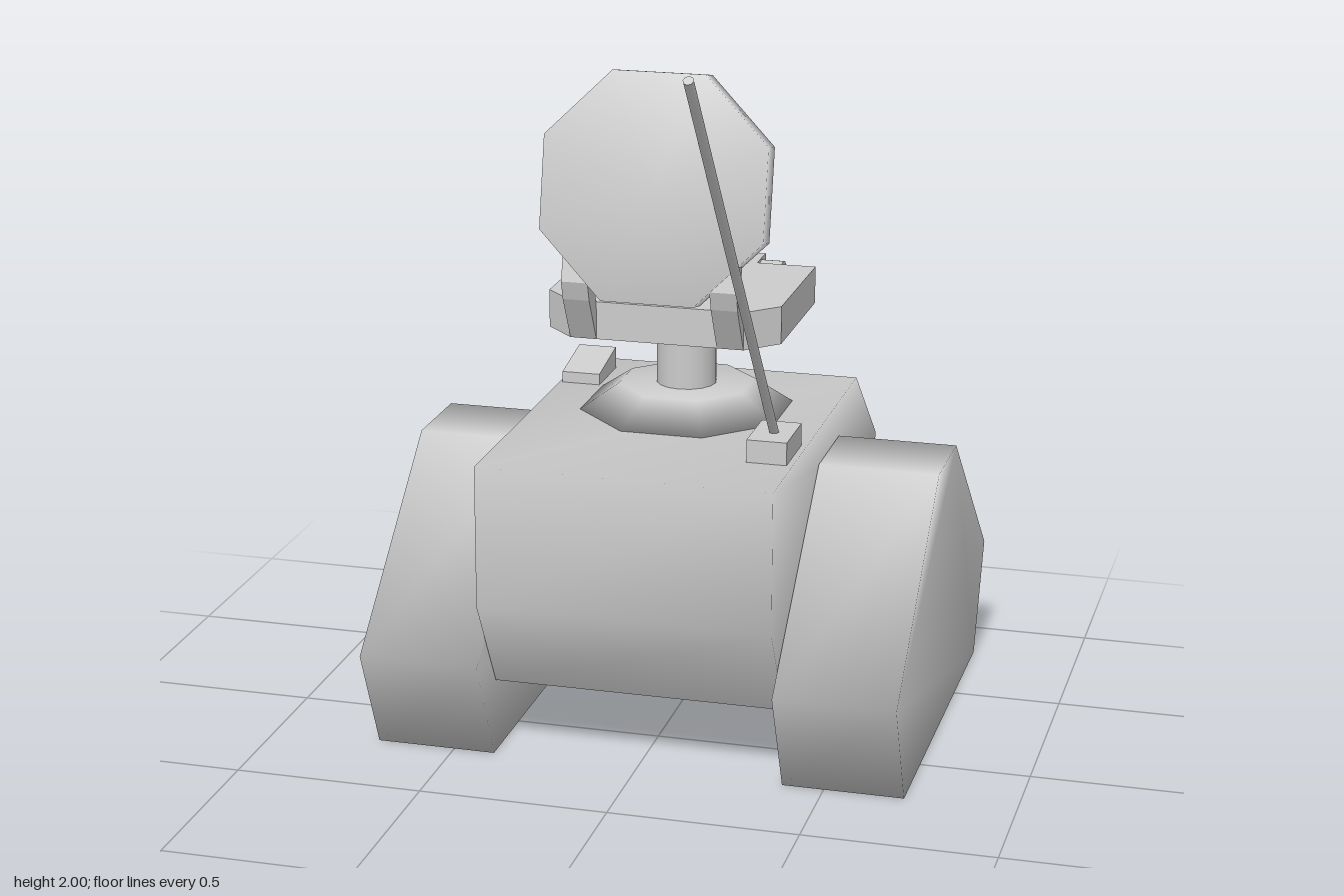
import * as THREE from 'three';
import { mergeVertices } from 'three/addons/utils/BufferGeometryUtils.js';

const grey = new THREE.MeshStandardMaterial({ color: 0xcccccc, side: THREE.DoubleSide });
grey.name = 'plain grey';

// Shares vertices so that shading runs smoothly over the edges
function smooth(geometry) {
  geometry.deleteAttribute('normal');
  geometry.deleteAttribute('uv');
  const merged = mergeVertices(geometry, 1e-4);
  merged.computeVertexNormals();
  return merged;
}

// Side profile of [z, y] points, extruded from x0 to x1
function sideExtrude(points, x0, x1) {
  const shape = new THREE.Shape(points.map(([z, y]) => new THREE.Vector2(-z, y)));
  const g = new THREE.ExtrudeGeometry(shape, { depth: x1 - x0, bevelEnabled: false });
  return g.rotateY(Math.PI / 2).translate(x0, 0, 0);
}

// Removes the faces lying on the plane y = level
function openBottom(geometry, level) {
  const p = geometry.attributes.position;
  const kept = [];
  for (let i = 0; i < p.count; i += 3) {
    const flat = [0, 1, 2].every((k) => Math.abs(p.getY(i + k) - level) < 1e-4);
    if (flat) continue;
    for (let k = 0; k < 3; k++) kept.push(p.getX(i + k), p.getY(i + k), p.getZ(i + k));
  }
  const g = new THREE.BufferGeometry();
  g.setAttribute('position', new THREE.Float32BufferAttribute(kept, 3));
  return g;
}

export function createModel() {
  const model = new THREE.Group();
  model.name = 'trackedRobot';
  const add = (name, geometry) => {
    const mesh = new THREE.Mesh(geometry, grey);
    mesh.name = name;
    model.add(mesh);
    return mesh;
  };

  // Hull, hollow from below
  const hull = sideExtrude([
    [0.35, 0.84], [0.35, 0.46], [0.2, 0.2], [-0.78, 0.2], [-0.94, 0.59], [-0.65, 0.84],
  ], -0.388, 0.388);
  add('hull', smooth(openBottom(hull, 0.2)));

  // Track units
  const track = [
    [0.35, 0.29], [0.22, 0], [-0.81, 0], [-0.94, 0.29], [-0.42, 0.745], [-0.17, 0.745],
  ];
  add('leftTrack', smooth(sideExtrude(track, 0.39, 0.71)));
  add('rightTrack', smooth(sideExtrude(track, -0.71, -0.39)));

  // Eight-sided turret base and round neck
  const base = new THREE.CylinderGeometry(0.184, 0.29, 0.07, 8).rotateY(Math.PI / 8);
  add('turretBase', smooth(base.translate(0, 0.873, -0.29)));
  add('neck', new THREE.CylinderGeometry(0.08, 0.08, 0.2, 16).translate(0, 1.005, -0.29));

  // Head platform with a rear tab
  const half = [[0.15, -0.56], [0.15, -0.46], [0.31, -0.46], [0.31, -0.06], [0.23, 0.02]];
  const outline = [...half, ...half.map(([x, z]) => [-x, z]).reverse()];
  const plan = new THREE.Shape(outline.map(([x, z]) => new THREE.Vector2(x, -z)));
  const platform = new THREE.ExtrudeGeometry(plan, { depth: 0.1, bevelEnabled: false });
  add('platform', platform.rotateX(-Math.PI / 2).translate(0, 1.1, 0));

  // Paired hinge pins and dish arms
  const arm = [[-0.02, 1.1], [0.02, 1.1], [0.085, 1.22], [0.1, 1.27], [0.08, 1.34], [0.04, 1.34], [0.05, 1.27], [0.02, 1.2], [-0.02, 1.2]];
  for (const [side, s] of [['left', 1], ['right', -1]]) {
    const pin = new THREE.CylinderGeometry(0.042, 0.042, 0.07, 12).rotateZ(Math.PI / 2);
    add(side + 'HingePin', pin.translate(s * 0.175, 1.153, -0.512));
    add(side + 'DishArm', sideExtrude(arm, s * 0.195 - 0.035, s * 0.195 + 0.035));
  }

  // Tilted eight-sided dish
  const dish = new THREE.CylinderGeometry(0.317, 0.317, 0.07, 8).rotateY(Math.PI / 8);
  const face = add('dish', smooth(dish));
  face.rotation.x = Math.PI / 2 - 0.21;
  face.position.set(0, 1.51, 0.02);

  // Antenna on its block
  add('antennaBlock', new THREE.BoxGeometry(0.105, 0.06, 0.17).translate(0.32, 0.87, 0.05));
  const foot = new THREE.Vector3(0.32, 0.89, 0.045);
  const tip = new THREE.Vector3(0.32, 1.992, 0.928);
  const along = tip.clone().sub(foot);
  const rod = add('antenna', new THREE.CylinderGeometry(0.013, 0.013, along.length(), 8));
  rod.position.copy(foot).add(tip).multiplyScalar(0.5);
  rod.quaternion.setFromUnitVectors(new THREE.Vector3(0, 1, 0), along.normalize());

  // Sloped rear sensor block
  add('sensorBlock', sideExtrude([[-0.4, 0.84], [-0.565, 0.84], [-0.565, 0.9], [-0.4, 0.87]], -0.38, -0.275));

  return model;
}
